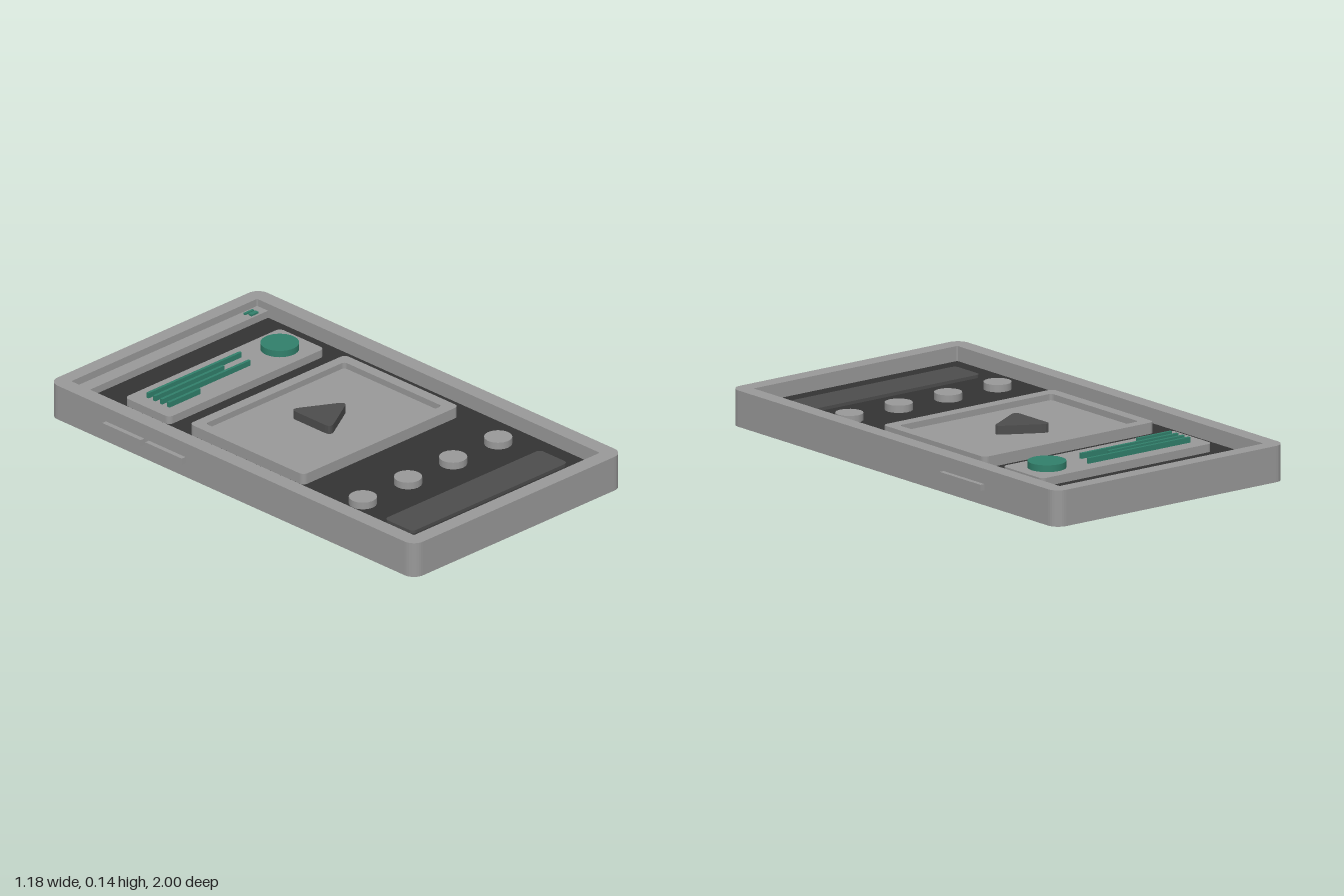
import * as THREE from 'three';

const mat = (name, color) => {
  const m = new THREE.MeshStandardMaterial({ color });
  m.name = name;
  return m;
};

// Rounded rectangle on the ground plan, given by its x and z limits
function roundRect(x0, x1, z0, z1, r, Type = THREE.Shape) {
  const s = new Type();
  const a = -z1, b = -z0; // plan y runs against z
  s.moveTo(x0 + r, a);
  s.lineTo(x1 - r, a);
  s.absarc(x1 - r, a + r, r, -Math.PI / 2, 0);
  s.lineTo(x1, b - r);
  s.absarc(x1 - r, b - r, r, 0, Math.PI / 2);
  s.lineTo(x0 + r, b);
  s.absarc(x0 + r, b - r, r, Math.PI / 2, Math.PI);
  s.lineTo(x0, a + r);
  s.absarc(x0 + r, a + r, r, Math.PI, Math.PI * 1.5);
  return s;
}

export function createModel() {
  const phone = new THREE.Group();
  phone.name = 'phone';
  const grey = mat('bodyGrey', 0x999999);
  const black = mat('screenBlack', 0x333333);
  const dark = mat('darkGrey', 0x4d4d4d);
  const green = mat('accentGreen', 0x31806b);

  const add = (name, geometry, material) => {
    const mesh = new THREE.Mesh(geometry, material);
    mesh.name = name;
    phone.add(mesh);
    return mesh;
  };
  // Upright slab from a plan shape
  const slab = (name, shape, y0, y1, material, curveSegments = 4) => {
    const g = new THREE.ExtrudeGeometry(shape, { depth: y1 - y0, bevelEnabled: false, curveSegments });
    g.rotateX(-Math.PI / 2);
    add(name, g, material).position.y = y0;
  };
  const box = (name, x0, x1, y0, y1, z0, z1, material) => {
    add(name, new THREE.BoxGeometry(x1 - x0, y1 - y0, z1 - z0), material)
      .position.set((x0 + x1) / 2, (y0 + y1) / 2, (z0 + z1) / 2);
  };
  const disc = (name, x, z, r, y0, y1, sides, material) => {
    add(name, new THREE.CylinderGeometry(r, r, y1 - y0, sides), material)
      .position.set(x, (y0 + y1) / 2, z);
  };

  // Case: solid back and a raised rim round the screen
  const screenY = 0.085;
  slab('caseBack', roundRect(-0.57, 0.57, -1, 1, 0.05), 0, 0.08, grey);
  const rim = roundRect(-0.57, 0.57, -1, 1, 0.05);
  rim.holes.push(roundRect(-0.505, 0.505, -0.94, 0.935, 0.006, THREE.Path));
  slab('caseRim', rim, 0.08, 0.145, grey);
  box('screen', -0.505, 0.505, 0.078, screenY, -0.94, 0.935, black);

  // Side buttons
  box('powerButton', 0.56, 0.59, 0.06, 0.085, -0.56, -0.31, grey);
  box('volumeUpButton', -0.59, -0.56, 0.06, 0.085, -0.685, -0.475, grey);
  box('volumeDownButton', -0.59, -0.56, 0.06, 0.085, -0.45, -0.25, grey);

  // Status bar with its small indicator
  box('statusBar', -0.505, 0.505, screenY, 0.115, -0.94, -0.88, grey);
  box('indicatorTop', 0.415, 0.463, 0.115, 0.122, -0.924, -0.914, green);
  box('indicatorBottom', 0.425, 0.463, 0.115, 0.122, -0.908, -0.89, green);

  // Message card: text lines and a round picture
  slab('messageCard', roundRect(-0.42, 0.425, -0.735, -0.49, 0.022), screenY, 0.118, grey);
  [[0.145, -0.668], [0.015, -0.632], [0.12, -0.594], [-0.19, -0.555]].forEach(([x1, z], i) =>
    box('textLine' + (i + 1), -0.36, x1, 0.118, 0.14, z - 0.006, z + 0.006, green));
  disc('messagePicture', 0.302, -0.612, 0.075, 0.118, 0.145, 32, green);

  // Video panel: framed recess with a play symbol
  slab('videoBack', roundRect(-0.42, 0.425, -0.38, 0.245, 0.022), screenY, 0.105, grey);
  const frame = roundRect(-0.42, 0.425, -0.38, 0.245, 0.022);
  frame.holes.push(roundRect(-0.375, 0.38, -0.337, 0.197, 0.015, THREE.Path));
  slab('videoFrame', frame, 0.105, 0.13, grey);

  const play = new THREE.Shape();
  play.moveTo(-0.07, 0.15);
  play.quadraticCurveTo(-0.07, 0.185, -0.035, 0.165);
  play.lineTo(0.105, 0.085);
  play.quadraticCurveTo(0.125, 0.07, 0.105, 0.055);
  play.lineTo(-0.035, -0.025);
  play.quadraticCurveTo(-0.07, -0.045, -0.07, -0.01);
  play.closePath();
  slab('playSymbol', play, 0.105, 0.14, dark);

  // Row of round icons and the bottom bar
  for (let i = 0; i < 4; i++) {
    disc('roundIcon' + (i + 1), -0.365 + i * 0.245, 0.515, 0.055, screenY, 0.114, 16, grey);
  }
  slab('bottomBar', roundRect(-0.42, 0.425, 0.687, 0.842, 0.02), screenY, 0.098, dark);

  return phone;
}
